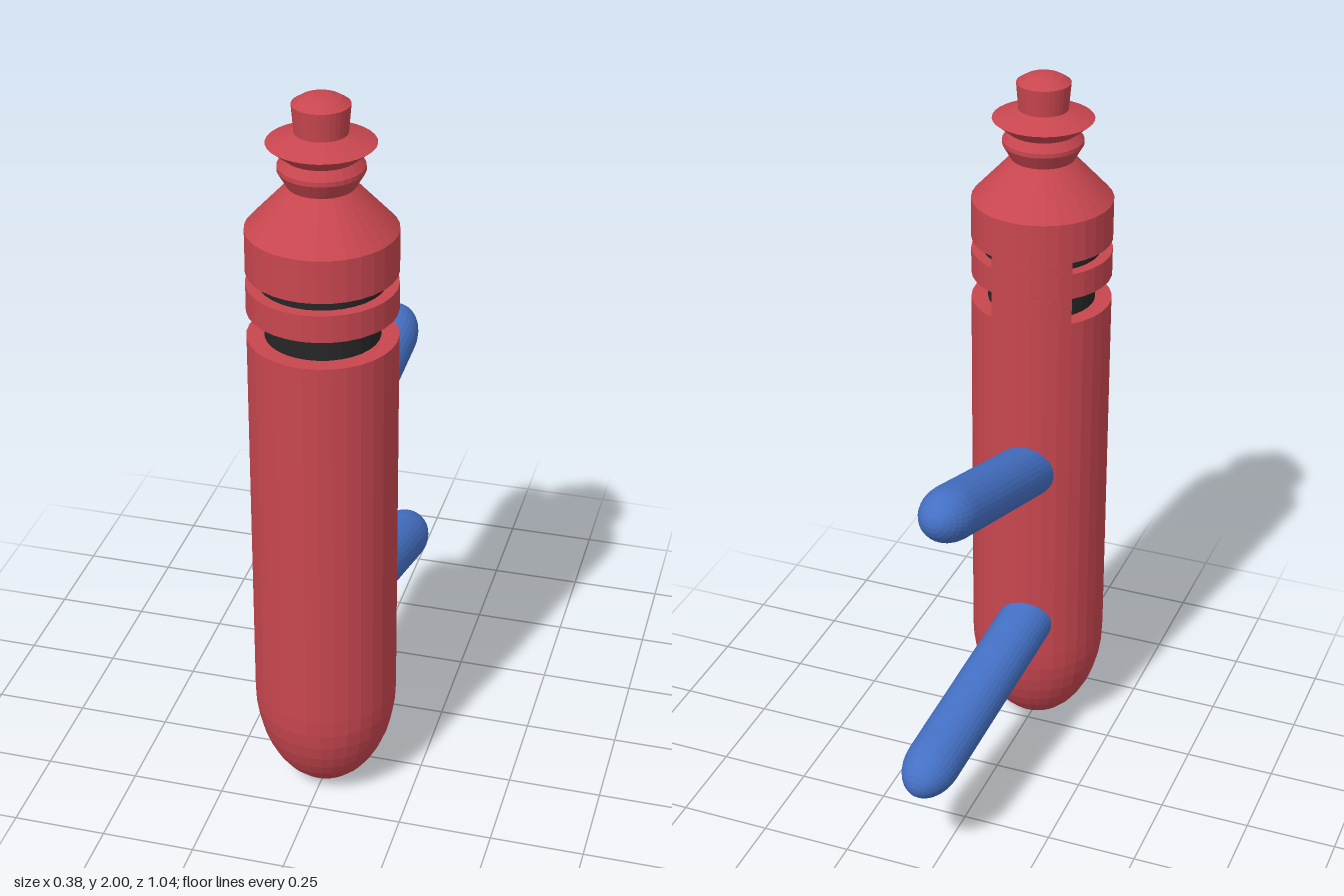
import * as THREE from 'three';

const SEGMENTS = 32;
const BODY_RADIUS = 0.19;
const red = new THREE.MeshStandardMaterial({ color: 0xc8464f, flatShading: true });
const blue = new THREE.MeshStandardMaterial({ color: 0x4470c4, flatShading: true });
const black = new THREE.MeshStandardMaterial({ color: 0x262626, flatShading: true });

function addMesh(parent, name, geometry, material) {
  const mesh = new THREE.Mesh(geometry, material);
  mesh.name = name;
  parent.add(mesh);
  return mesh;
}

// Turned solid from [radius, height] pairs listed bottom to top
function turned(profile) {
  return new THREE.LatheGeometry(profile.map(([r, y]) => new THREE.Vector2(r, y)), SEGMENTS);
}

// Quarter ellipse from the lower pole out to the full radius
function domeProfile(radius, height, steps) {
  const points = [];
  for (let i = 0; i <= steps; i++) {
    const a = (i / steps) * Math.PI / 2;
    points.push([radius * Math.sin(a), height * (1 - Math.cos(a))]);
  }
  return points;
}

// Solid wedge at the back that closes a groove between its two ends
function grooveStop(y0, y1) {
  const from = THREE.MathUtils.degToRad(66), to = THREE.MathUtils.degToRad(135);
  const shape = new THREE.Shape();
  shape.absarc(0, 0, BODY_RADIUS, from, to, false);
  shape.absarc(0, 0, 0.1, to, from, true);
  const geometry = new THREE.ExtrudeGeometry(shape, { depth: y1 - y0, bevelEnabled: false, curveSegments: 8 });
  return geometry.rotateX(-Math.PI / 2).translate(0, y0, 0);
}

// Round-nosed peg running from start to tip
function peg(start, tip) {
  const axis = new THREE.Vector3().subVectors(tip, start);
  const length = axis.length();
  const nose = domeProfile(0.076, 0.115, 8).reverse().map(([r, y]) => [r, length - y]);
  const geometry = turned([[0, 0], [0.076, 0], ...nose]);
  const turn = new THREE.Quaternion().setFromUnitVectors(new THREE.Vector3(0, 1, 0), axis.normalize());
  return geometry.applyQuaternion(turn).translate(start.x, start.y, start.z);
}

export function createModel() {
  const model = new THREE.Group();
  model.name = 'model';

  const body = new THREE.Group();
  body.name = 'body';
  body.position.z = 0.33;
  model.add(body);

  // Long barrel with a rounded base
  addMesh(body, 'barrel', turned([...domeProfile(BODY_RADIUS, 0.3, 10), [BODY_RADIUS, 1.365], [0, 1.365]]), red);

  // Band between the two grooves
  addMesh(body, 'band', turned([[0, 1.438], [BODY_RADIUS, 1.438], [BODY_RADIUS, 1.51], [0, 1.51]]), red);

  // Shoulder, neck, flange and top button
  addMesh(body, 'head', turned([
    [0, 1.543], [BODY_RADIUS, 1.543], [BODY_RADIUS, 1.655],
    [0.085, 1.768], [0.108, 1.808], [0.108, 1.82], [0.092, 1.843],
    [0.135, 1.878], [0.066, 1.904], [0.066, 1.904],
    [0.072, 1.976], [0.05, 1.99], [0.025, 1.998], [0, 2],
  ]), red);

  // Dark groove floors and the solid stops behind them
  for (const [name, y0, y1, r] of [['lowerGroove', 1.365, 1.438, 0.145], ['upperGroove', 1.51, 1.543, 0.16]]) {
    addMesh(body, name + 'Floor', new THREE.CylinderGeometry(r, r, y1 - y0, SEGMENTS, 1, true)
      .translate(0, (y0 + y1) / 2, 0), black);
    addMesh(body, name + 'Stop', grooveStop(y0, y1), red);
  }

  // Two pegs leaving the back of the barrel
  addMesh(model, 'upperPeg', peg(new THREE.Vector3(-0.03, 0.885, 0.25), new THREE.Vector3(0.02, 1.06, -0.41)), blue);
  addMesh(model, 'lowerPeg', peg(new THREE.Vector3(-0.03, 0.425, 0.25), new THREE.Vector3(0.034, 0.28, -0.523)), blue);

  return model;
}
